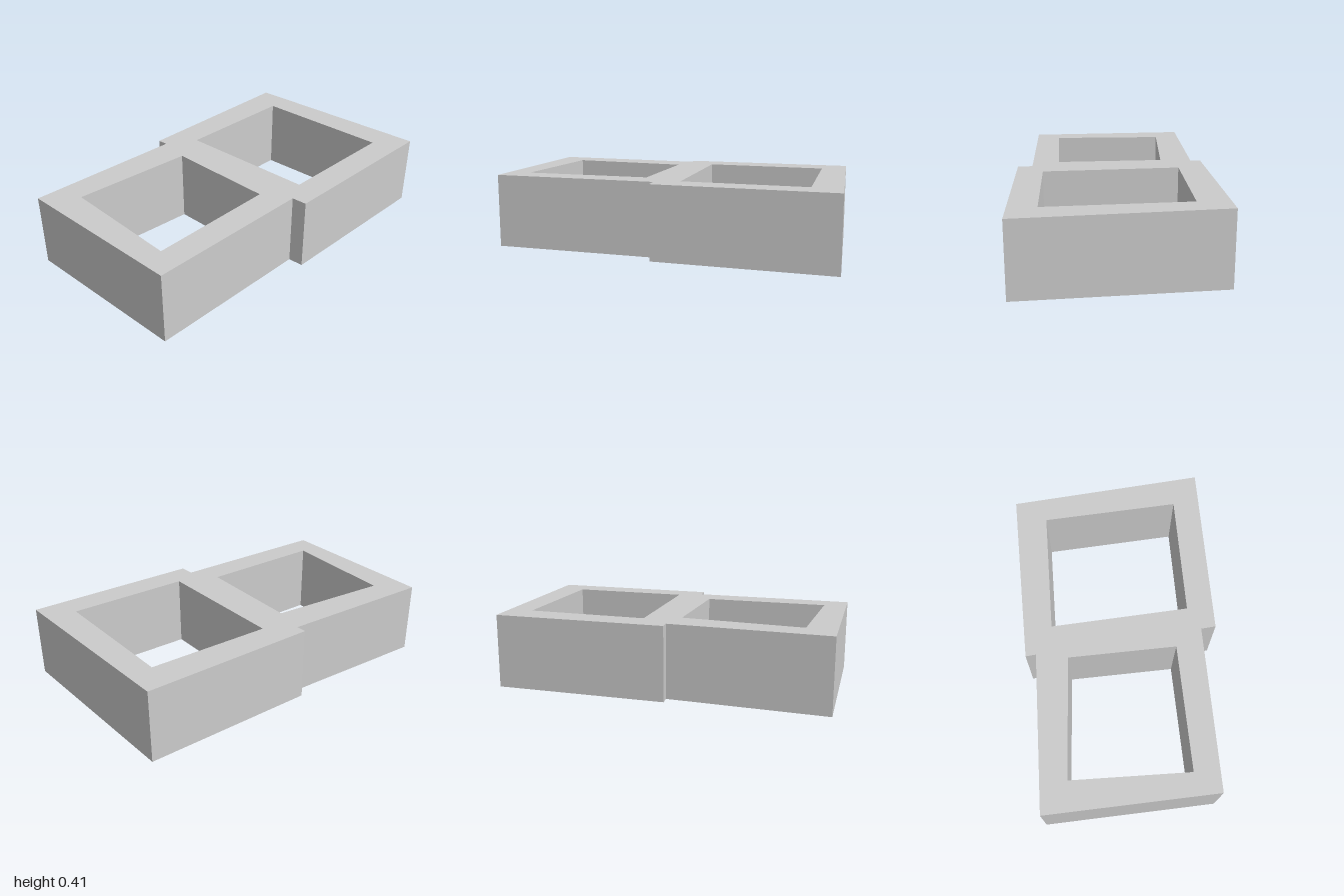
import * as THREE from 'three';

const HEIGHT = 0.407;

// Plan corners are [x, z]; shape y is -z so the extrusion stands upright after rotation.
const toPoints = (corners) => corners.map(([x, z]) => new THREE.Vector2(x, -z));

export function createModel() {
  const group = new THREE.Group();
  group.name = 'twoCellBlock';

  // Outer walls: a back cell and a slightly offset, narrower front cell
  const plan = new THREE.Shape(toPoints([
    [-0.58, -0.805], [-0.475, 0.147], [-0.419, 0.136], [-0.358, 1.0],
    [0.578, 0.875], [0.49, -0.026], [0.57, -0.041], [0.481, -1.0],
  ]));

  // Open shafts through both cells
  const shafts = [
    [[-0.397, -0.699], [0.35, -0.815], [0.414, -0.147], [-0.34, -0.03]],
    [[-0.242, 0.151], [0.35, 0.08], [0.427, 0.769], [-0.225, 0.82]],
  ];
  for (const corners of shafts) plan.holes.push(new THREE.Path(toPoints(corners)));

  const geometry = new THREE.ExtrudeGeometry(plan, { depth: HEIGHT, bevelEnabled: false });
  geometry.rotateX(-Math.PI / 2);

  // Underside rises very slightly towards the left
  const position = geometry.attributes.position;
  for (let i = 0; i < position.count; i++) {
    if (position.getY(i) < HEIGHT / 2) {
      position.setY(i, THREE.MathUtils.clamp((position.getX(i) + 0.58) * 0.01, 0, 0.008));
    }
  }
  geometry.computeVertexNormals();

  const walls = new THREE.Mesh(
    geometry,
    new THREE.MeshStandardMaterial({ color: 0xcccccc, flatShading: true }),
  );
  walls.name = 'walls';
  group.add(walls);
  return group;
}
